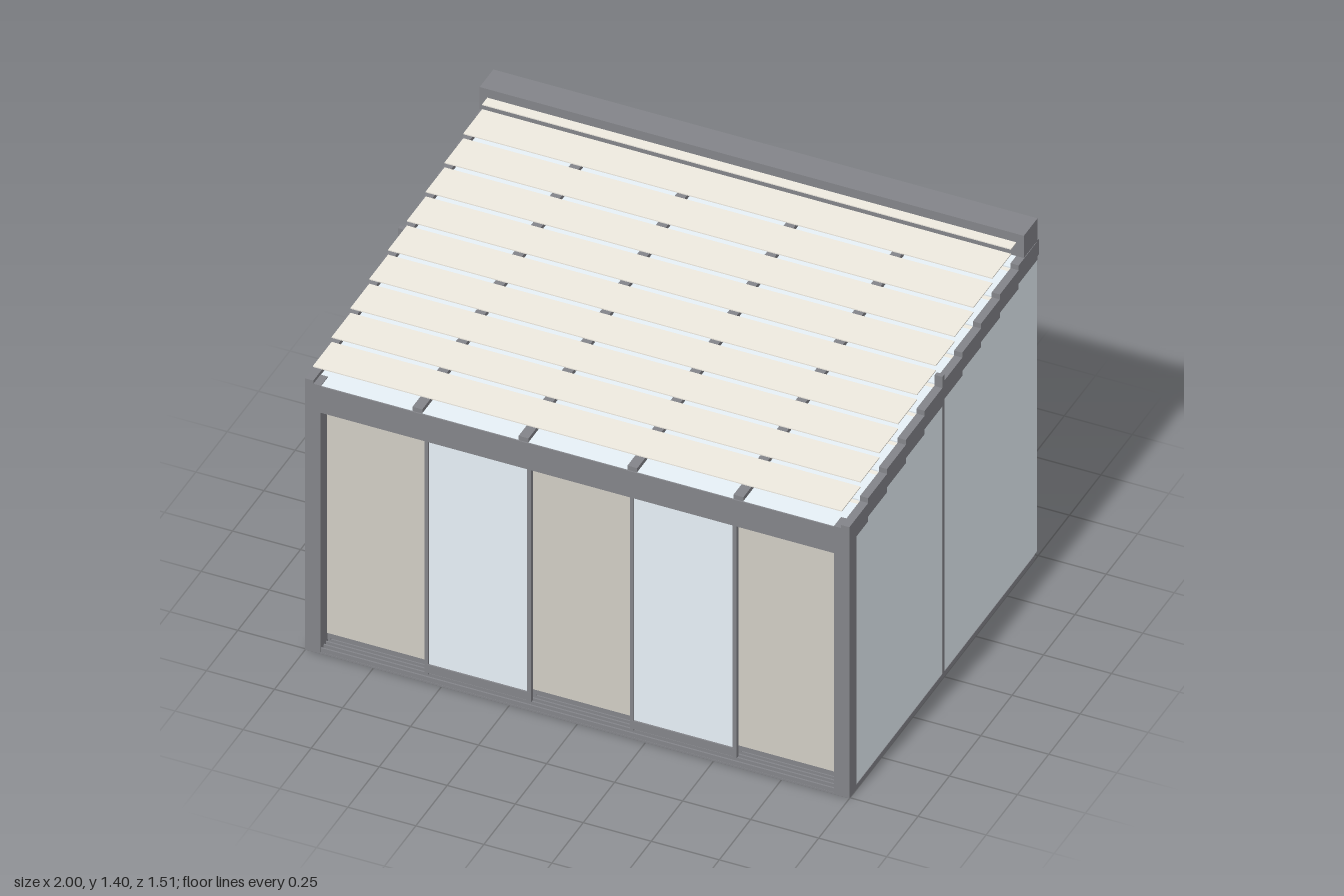
import * as THREE from 'three';

const mat = (color) => new THREE.MeshStandardMaterial({ color });
const frame = mat(0x838489), glass = mat(0xe7f1f7), shade = mat(0xeeeae0);
const blind = mat(0xd1cdc4), copper = mat(0xb5713c), steel = mat(0xa0a1a4);

const STEPS = 10, RUN = 0.15, RISE = 0.0202;
const stepStart = (i) => 0.755 - RUN * i;
const stepEnd = (i) => Math.max(0.755 - RUN * (i + 1), -0.745);

export function createModel() {
  const model = new THREE.Group();

  const add = (name, geometry, material) => {
    const mesh = new THREE.Mesh(geometry, material);
    mesh.name = name;
    model.add(mesh);
  };
  // Box given by its limits on each axis
  const box = (name, material, x0, x1, y0, y1, z0, z1) => {
    const g = new THREE.BoxGeometry(x1 - x0, y1 - y0, z1 - z0);
    g.translate((x0 + x1) / 2, (y0 + y1) / 2, (z0 + z1) / 2);
    add(name, g, material);
  };
  // Points of a staircase line climbing to the back
  const stairs = (y, zFront) => {
    const pts = [];
    for (let i = 0; i < STEPS; i++) {
      const h = y + RISE * i;
      pts.push(new THREE.Vector2(Math.min(stepStart(i), zFront), h));
      pts.push(new THREE.Vector2(stepEnd(i), h));
    }
    return pts;
  };
  // Side profile in (z, y) extruded along x
  const profile = (name, points, x, width, material) => {
    const g = new THREE.ExtrudeGeometry(new THREE.Shape(points), { depth: width, bevelEnabled: false });
    g.translate(0, 0, -width / 2);
    g.rotateY(-Math.PI / 2);
    g.translate(x, 0, 0);
    add(name, g, material);
  };

  // Stepped rafters, the outer pair carrying the side walls
  const rafter = (x, w, zFront) => profile('rafter',
    [...stairs(1.125, zFront), ...stairs(1.049, zFront).reverse()], x, w, frame);
  for (const s of [-1, 1]) {
    rafter(s * 0.985, 0.03, 0.755);
    rafter(s * 0.59, 0.036, 0.75);
    rafter(s * 0.2, 0.036, 0.75);
  }

  // Side walls: post, sill, stepped glass and middle mullion
  for (const s of [-1, 1]) {
    const side = (name, a, b, ...rest) =>
      box(name, frame, Math.min(s * a, s * b), Math.max(s * a, s * b), ...rest);
    side('frontPost', 0.943, 1, 0, 1.112, 0.698, 0.755);
    side('sideSill', 0.97, 1, 0, 0.02, -0.72, 0.7);
    side('sideMullion', 0.972, 1, 0, 1.252, -0.002, 0.014);
    profile('sideGlass', [
      ...stairs(1.049, 0.7),
      new THREE.Vector2(-0.745, 0.02), new THREE.Vector2(0.7, 0.02),
    ], s * 0.989, 0.018, glass);
  }

  // Front beam, top track and floor tracks
  box('frontBeam', frame, -0.943, 0.943, 1.0, 1.108, 0.698, 0.755);
  box('topTrack', frame, -0.943, 0.943, 0.995, 1.03, 0.67, 0.698);
  box('frontSill', frame, -0.943, 0.943, 0, 0.008, 0.69, 0.755);
  for (const z of [0.693, 0.711, 0.73, 0.751])
    box('floorTrack', frame, -0.943, 0.943, 0.008, 0.024, z - 0.003, z + 0.003);

  // Five sliding panels staggered on either side of the blinds
  const PITCH = 0.3775, HALF = 0.007;
  for (let i = 0; i < 5; i++) {
    const x0 = -0.94 + i * PITCH, x1 = Math.min(x0 + PITCH, 0.94);
    const z = i % 2 ? 0.73 : 0.69;
    box('panelGlass', glass, x0, x1, 0.06, 0.99, z - 0.004, z + 0.004);
    box('panelBlind', blind, x0, x1, 0.06, 1.0, 0.708, 0.712);
    box('panelBottomRail', frame, x0, x1, 0.031, 0.064, z - 0.01, z + 0.01);
    box('panelTopRail', frame, x0, x1, 0.988, 1.0, z - 0.01, z + 0.01);
    for (const x of [x0, x1])
      box('panelStile', frame, x - HALF, x + HALF, 0.024, 0.99, z - 0.009, z + 0.009);
  }

  // Roof, step by step: glass panes, outer shades above, inner shades below
  const bays = [-0.97, -0.608, -0.572, -0.218, -0.182, 0.182, 0.218, 0.572, 0.608, 0.97];
  for (let i = 0; i < STEPS; i++) {
    const h = RISE * i, zf = stepStart(i), zb = stepEnd(i);
    for (let b = 0; b < bays.length; b += 2)
      box('roofGlass', glass, bays[b], bays[b + 1], 1.104 + h, 1.109 + h, zb, Math.min(zf, 0.75));
    box('outerShade', shade, -0.972, 0.972, 1.181 + h, 1.185 + h, Math.max(zb, -0.64), zf);
    box('innerShade', shade, -0.968, 0.968, 1.025 + h, 1.029 + h, Math.max(zb, -0.69), Math.min(zf, 0.69));
  }

  // Back beam with the shade housing above it
  box('backBeam', frame, -1, 1, 1.245, 1.31, -0.755, -0.735);
  box('shadeHousing', frame, -1, 1, 1.31, 1.402, -0.745, -0.636);

  // Heater hung under the back of the roof
  box('heaterCase', steel, -0.19, 0.19, 1.09, 1.147, -0.743, -0.643);
  box('heaterElement', copper, -0.18, 0.18, 1.087, 1.091, -0.733, -0.653);

  return model;
}
